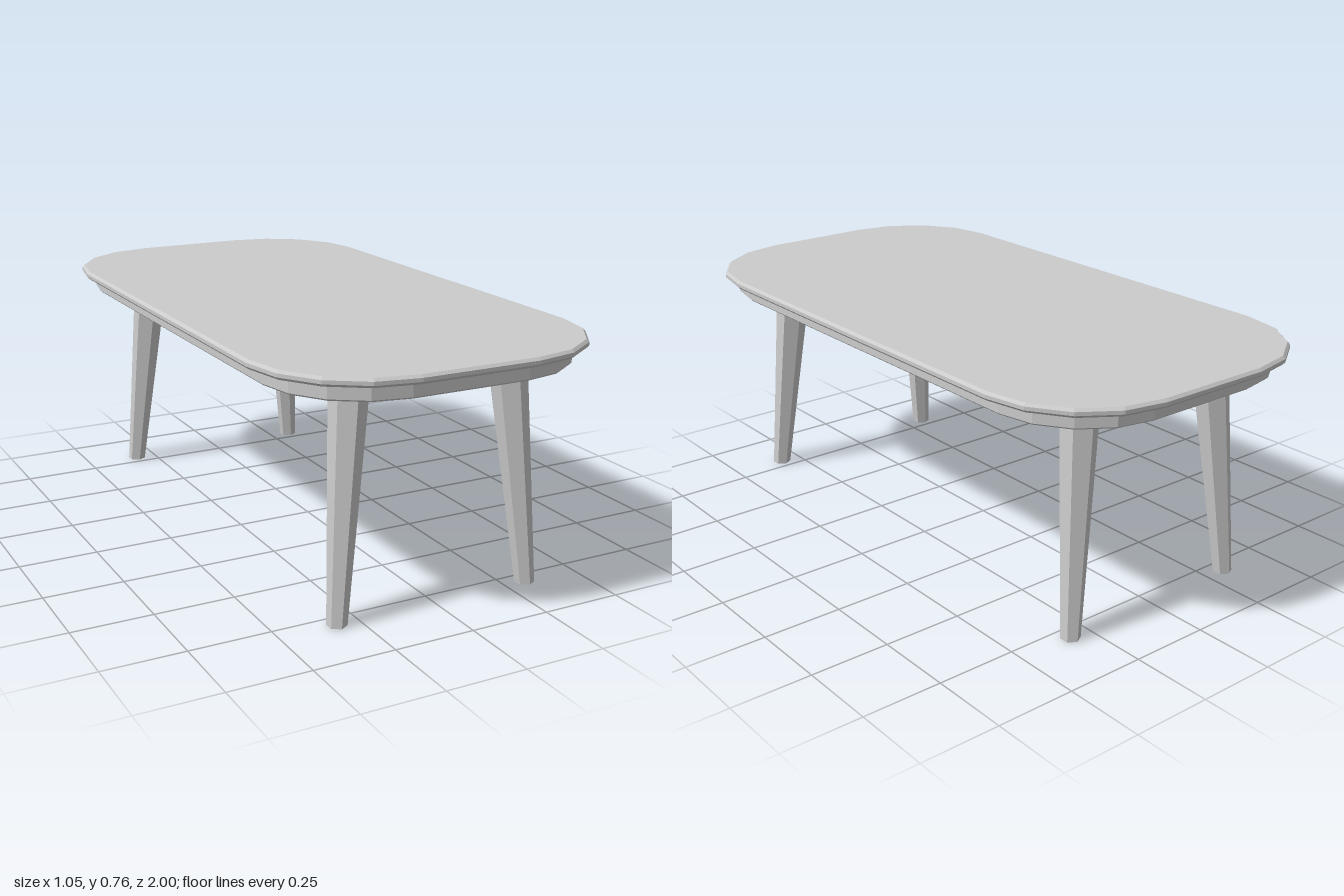
import * as THREE from 'three';

const material = new THREE.MeshStandardMaterial({ color: 0xcccccc, flatShading: true });

// Rounded rectangle with four facets per corner, inset from the table edge
function outline(inset) {
  const points = [];
  const corners = [[1, 1], [-1, 1], [-1, -1], [1, -1]];
  corners.forEach(([sx, sy], c) => {
    for (let i = 0; i <= 4; i++) {
      const a = (c + i / 4) * Math.PI / 2;
      const r = 0.34 - inset;
      points.push(new THREE.Vector2(sx * 0.185 + r * Math.cos(a), sy * 0.66 + r * Math.sin(a)));
    }
  });
  return points;
}

// Horizontal slab with chamfered edges between two heights
function slab(name, shape, bottom, top, bevel) {
  const geometry = new THREE.ExtrudeGeometry(shape, {
    depth: top - bottom - 2 * bevel,
    bevelThickness: bevel, bevelSize: bevel, bevelOffset: -bevel, bevelSegments: 1,
  });
  geometry.rotateX(-Math.PI / 2).translate(0, bottom + bevel, 0);
  const mesh = new THREE.Mesh(geometry, material);
  mesh.name = name;
  return mesh;
}

// Tapered hexagonal leg, sheared outward with a level foot
function leg(sx, sz) {
  const height = 0.74;
  const geometry = new THREE.CylinderGeometry(0.06, 0.03, height, 6);
  geometry.translate(0, height / 2, 0);
  const p = geometry.attributes.position;
  for (let i = 0; i < p.count; i++) {
    const t = p.getY(i) / height;
    p.setX(i, p.getX(i) + sx * (0.32 - 0.065 * t));
    p.setZ(i, p.getZ(i) + sz * (0.797 - 0.056 * t));
  }
  geometry.computeVertexNormals();
  const mesh = new THREE.Mesh(geometry, material);
  mesh.name = (sz > 0 ? 'front' : 'back') + (sx > 0 ? 'Left' : 'Right') + 'Leg';
  return mesh;
}

export function createModel() {
  const table = new THREE.Group();
  table.name = 'table';

  table.add(slab('tabletop', new THREE.Shape(outline(0)), 0.733, 0.76, 0.008));

  // Apron frame, open underneath
  const frame = new THREE.Shape(outline(0.046));
  frame.holes.push(new THREE.Path(outline(0.08).reverse()));
  table.add(slab('apron', frame, 0.683, 0.742, 0.005));

  for (const sx of [1, -1]) for (const sz of [1, -1]) table.add(leg(sx, sz));
  return table;
}
